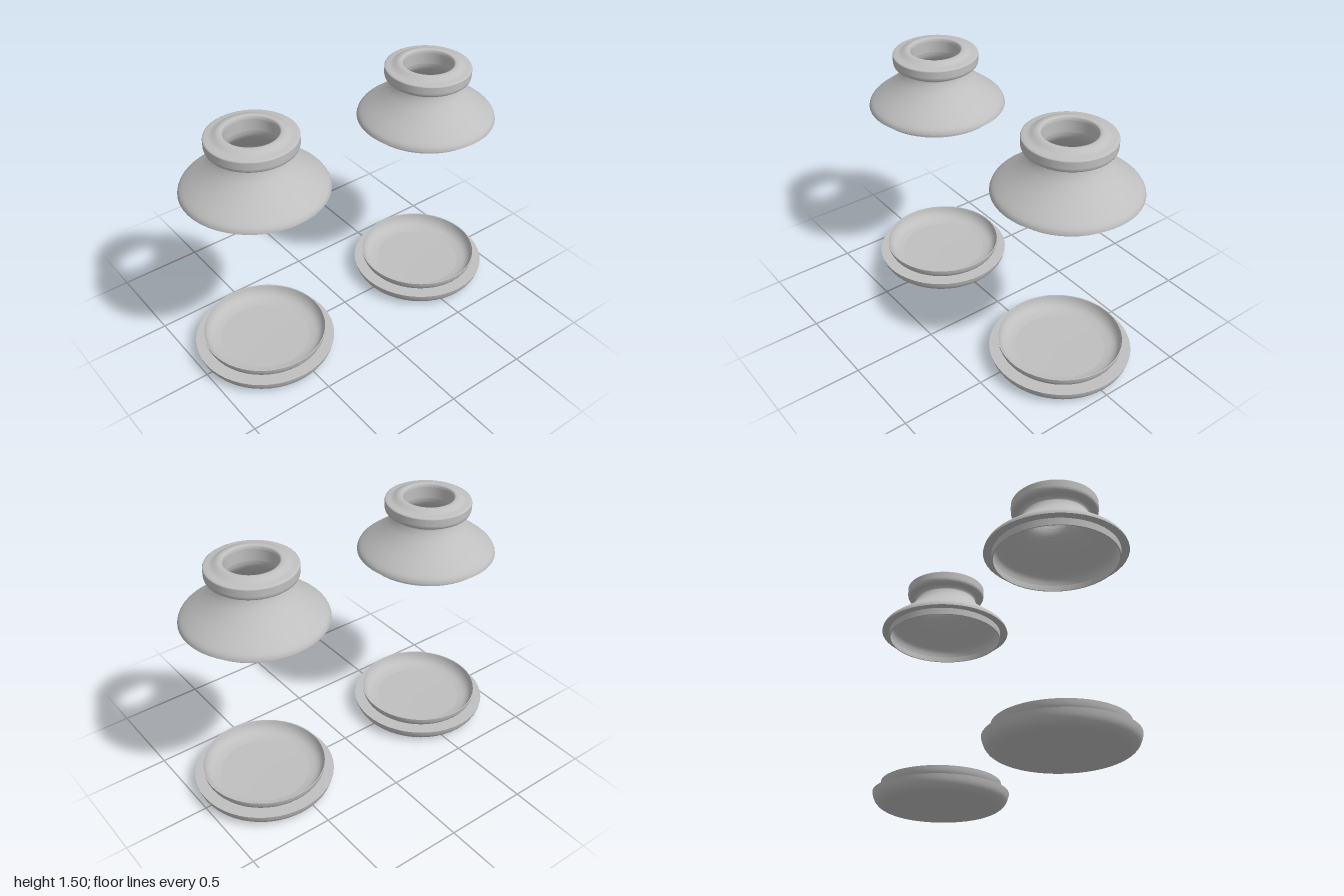
import * as THREE from 'three';
import { mergeGeometries } from 'three/addons/utils/BufferGeometryUtils.js';

const SEGMENTS = 48;

// One smooth lathed strip through [radius, height] points; longer strips are curved.
function strip(points) {
  let pts = points.map(([r, y]) => new THREE.Vector2(r, y));
  if (pts.length > 3) {
    pts = new THREE.SplineCurve(pts).getPoints((pts.length - 1) * 3);
    pts.forEach((p) => { p.x = Math.max(p.x, 0); });
  }
  return new THREE.LatheGeometry(pts, SEGMENTS);
}

// Strips meet at sharp edges, since each keeps its own normals.
function turned(name, strips, material) {
  const mesh = new THREE.Mesh(mergeGeometries(strips.map(strip)), material);
  mesh.name = name;
  return mesh;
}

export function createModel() {
  const grey = new THREE.MeshStandardMaterial({ color: 0xbfbfbf, side: THREE.DoubleSide });
  grey.name = 'grey';

  // Hollow bell: locating lip, flared shoulder, neck and collar
  const bellProfile = [
    [[0.348, 1.115], [0.355, 1.115]],
    [[0.355, 1.115], [0.357, 1.155]],
    [[0.357, 1.155], [0.403, 1.155]],
    [[0.403, 1.155], [0.398, 1.172], [0.384, 1.19], [0.347, 1.22], [0.27, 1.28],
      [0.216, 1.335], [0.195, 1.375], [0.196, 1.388], [0.207, 1.4], [0.232, 1.406],
      [0.244, 1.415], [0.248, 1.43]],
    [[0.248, 1.43], [0.248, 1.47]],
    [[0.248, 1.47], [0.242, 1.477], [0.21, 1.482], [0.192, 1.49], [0.175, 1.498],
      [0.157, 1.5], [0.147, 1.495], [0.143, 1.48]],
    [[0.143, 1.48], [0.143, 1.41]],
    [[0.143, 1.41], [0.152, 1.375], [0.185, 1.33], [0.24, 1.275], [0.305, 1.22],
      [0.338, 1.185], [0.348, 1.15]],
    [[0.348, 1.15], [0.348, 1.115]],
  ];

  // Shallow dish: rounded base with a smaller raised bowl
  const dishProfile = [
    [[0, 0], [0.32, 0]],
    [[0.32, 0], [0.35, 0.006], [0.378, 0.023], [0.397, 0.05], [0.407, 0.085]],
    [[0.407, 0.085], [0.325, 0.085]],
    [[0.325, 0.085], [0.342, 0.098], [0.354, 0.12], [0.36, 0.148]],
    [[0.36, 0.148], [0.354, 0.148]],
    [[0.354, 0.148], [0.345, 0.12], [0.327, 0.095], [0.3, 0.08], [0.26, 0.072]],
    [[0.26, 0.072], [0, 0.07]],
  ];

  const model = new THREE.Group();
  model.name = 'bellsAndDishes';
  for (const [side, z] of [['front', 0.593], ['back', -0.593]]) {
    const pair = new THREE.Group();
    pair.name = side + 'Pair';
    pair.add(turned(side + 'Bell', bellProfile, grey), turned(side + 'Dish', dishProfile, grey));
    pair.position.z = z;
    model.add(pair);
  }
  return model;
}
